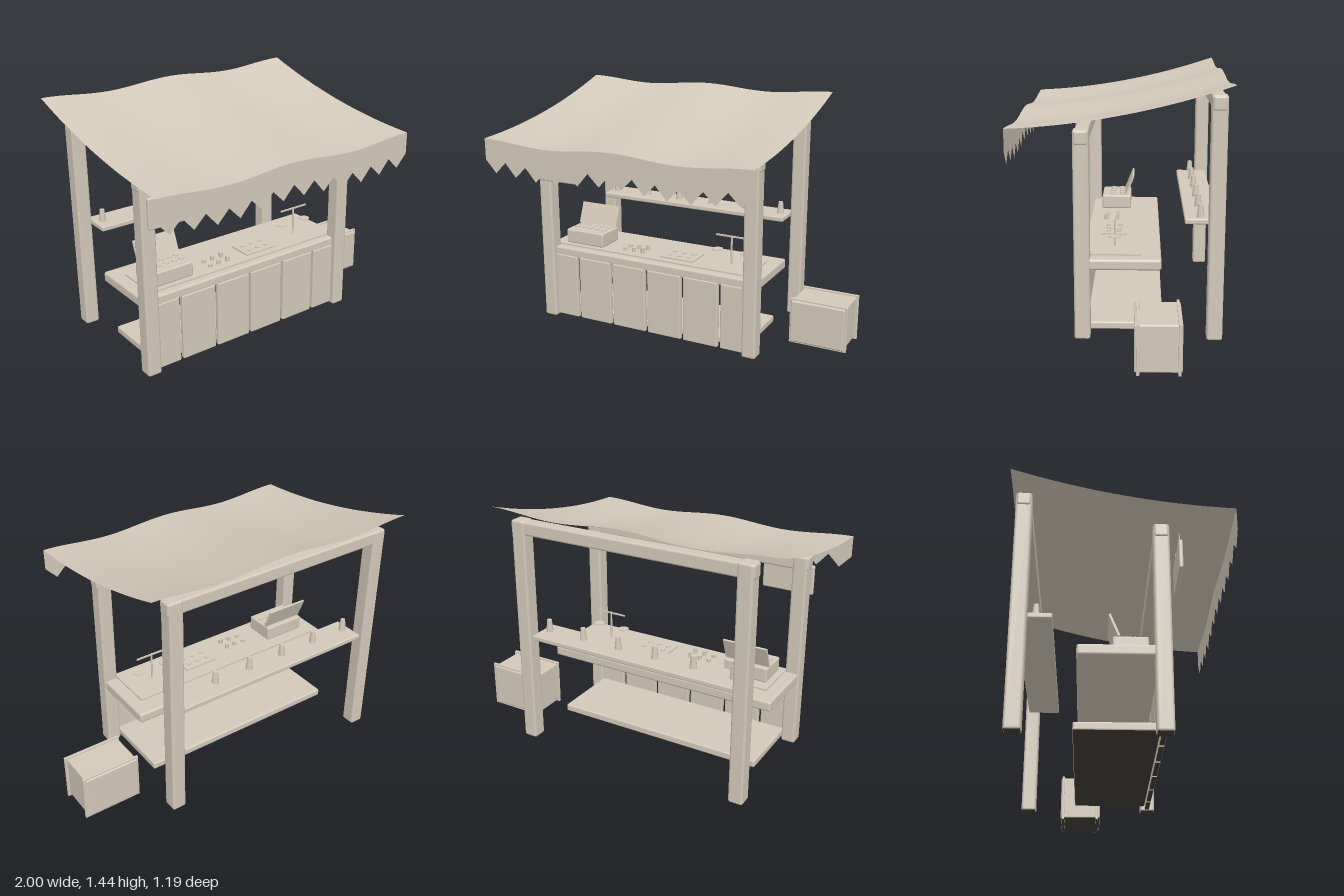
import * as THREE from 'three';
import { RoundedBoxGeometry } from 'three/addons/geometries/RoundedBoxGeometry.js';

const clay = new THREE.MeshStandardMaterial({ color: 0xd3c9b9, side: THREE.DoubleSide });
clay.name = 'warm grey';
const dark = new THREE.MeshStandardMaterial({ color: 0x403e36 });
dark.name = 'dark underside';
// Box face order: right, left, top, bottom, front, back
const darkBottom = [clay, clay, clay, dark, clay, clay];

export function createModel() {
  const root = new THREE.Group();
  root.name = 'marketStall';

  const add = (name, geo, x = 0, y = 0, z = 0, material = clay) => {
    const m = new THREE.Mesh(geo, material);
    m.name = name;
    m.position.set(x, y, z);
    root.add(m);
    return m;
  };
  // Box given by its extents; a bevel radius above 0 softens the edges
  const box = (name, [x0, x1], [y0, y1], [z0, z1], r = 0, material = clay) => {
    const s = [x1 - x0, y1 - y0, z1 - z0];
    const geo = r ? new RoundedBoxGeometry(...s, 2, r) : new THREE.BoxGeometry(...s);
    return add(name, geo, (x0 + x1) / 2, (y0 + y1) / 2, (z0 + z1) / 2, material);
  };
  const cyl = (name, rTop, rBottom, h, x, y0, z, sides = 12) =>
    add(name, new THREE.CylinderGeometry(rTop, rBottom, h, sides), x, y0 + h / 2, z);

  const mid = -0.158; // middle of the stall frame

  // Posts and top beams
  for (const [side, z, top] of [['front', 0.208, 1.19], ['back', -0.525, 1.375]]) {
    for (const x of [mid - 0.686, mid + 0.686])
      box(side + 'Post', [x - 0.043, x + 0.043], [0.01, top], [z - 0.044, z + 0.044], 0.014, darkBottom);
    box(side + 'Beam', [mid - 0.735, mid + 0.735], [top - 0.082, top - 0.004], [z - 0.038, z + 0.038], 0.012);
  }

  // Cloth canopy: rises toward the back, gently waved across
  const X0 = -1, W = 1.687, Z = 0.593;
  const wave = x => 0.0135 * Math.cos((x - X0) / W * Math.PI * 4);
  const clothY = (x, z) => {
    const t = (Z - z) / (2 * Z);
    return 1.2 + 0.05 * t + 0.175 * t * t + wave(x);
  };
  const cloth = new THREE.PlaneGeometry(W, 2 * Z, 48, 16);
  cloth.rotateX(-Math.PI / 2).translate(X0 + W / 2, 0, 0);
  const p = cloth.attributes.position;
  for (let i = 0; i < p.count; i++) p.setY(i, clothY(p.getX(i), p.getZ(i)));
  cloth.computeVertexNormals();
  add('canopy', cloth);

  // Zigzag valance hanging from the front edge
  const valance = new THREE.Shape();
  const teeth = 12;
  valance.moveTo(X0, clothY(X0, Z));
  for (let i = 0; i <= teeth * 2; i++) {
    const x = X0 + W * i / (teeth * 2);
    valance.lineTo(x, clothY(x, Z) - (i % 2 ? 0.198 : 0.125));
  }
  for (let i = 48; i > 0; i--) {
    const x = X0 + W * i / 48;
    valance.lineTo(x, clothY(x, Z));
  }
  add('valance', new THREE.ShapeGeometry(valance), 0, 0, Z);

  // Counter, mat, lower shelf and front panels
  box('counterTop', [mid - 0.72, mid + 0.72], [0.412, 0.474], [-0.228, 0.215], 0.014);
  box('counterMat', [mid - 0.645, mid + 0.645], [0.473, 0.483], [-0.115, 0.17]);
  box('lowerShelf', [mid - 0.65, mid + 0.65], [0.04, 0.085], [-0.24, 0.19], 0.01, darkBottom);
  for (let i = 0; i < 6; i++) {
    const x = mid + (i - 2.5) * 0.2425;
    box('frontPanel', [x - 0.113, x + 0.113], [0.02, 0.424], [0.19, 0.22], 0.008, darkBottom);
  }

  // Rear shelf between the back posts, with tapered cups
  box('rearShelf', [mid - 0.643, mid + 0.643], [0.655, 0.686], [-0.547, -0.355], 0.008);
  for (let i = 0; i < 6; i++)
    cyl('shelfCup', 0.014, 0.022, 0.074, mid + (i - 2.5) * 0.2375, 0.685, -0.443, 10);

  // Lidded display box with round goods
  box('displayBox', [-0.772, -0.505], [0.483, 0.572], [-0.045, 0.143], 0.01);
  for (let i = 0; i < 5; i++)
    for (const z of [0.015, 0.072])
      cyl('displayGoods', 0.015, 0.016, 0.009, -0.738 + i * 0.05, 0.57, z);
  const lid = add('displayLid', new THREE.BoxGeometry(0.27, 0.135, 0.012), -0.638, 0.637, -0.036);
  lid.rotation.x = -0.38;

  // Small jars in two rows
  for (let i = 0; i < 3; i++)
    for (const z of [0.04, 0.105])
      cyl('jar', 0.013, 0.013, 0.018 + i * 0.007, -0.365 + i * 0.062, 0.483, z);

  // Tray with small rounds
  box('tray', [-0.11, 0.11], [0.483, 0.492], [-0.03, 0.125]);
  for (let i = 0; i < 3; i++)
    for (const z of [0.015, 0.08])
      cyl('trayGoods', 0.014, 0.014, 0.008, (i - 1) * 0.065, 0.491, z);

  // Balance scale
  cyl('scalePole', 0.006, 0.006, 0.175, 0.32, 0.483, 0.033, 10);
  box('scaleBeam', [0.22, 0.42], [0.648, 0.657], [0.029, 0.037]);
  for (const x of [0.23, 0.41]) cyl('scalePan', 0.033, 0.033, 0.005, x, 0.56, 0.033, 16);

  // Hanging sign with a plain emblem plate
  box('signBoard', [-0.883, -0.573], [0.922, 1.098], [0.297, 0.321], 0.009);
  box('signPlate', [-0.81, -0.652], [0.976, 1.0], [0.32, 0.329]);
  const emblem = new THREE.Shape([[-0.83, 1.0], [-0.632, 1.0], [-0.69, 1.045], [-0.77, 1.045]]
    .map(c => new THREE.Vector2(...c)));
  add('signEmblem', new THREE.ExtrudeGeometry(emblem, { depth: 0.009, bevelEnabled: false }), 0, 0, 0.32);
  for (const x of [-0.83, -0.63]) cyl('signCord', 0.003, 0.003, 0.076, x, 1.092, 0.309, 6);

  // Crate beside the stall with two protruding boards
  box('crate', [0.655, 0.985], [0.01, 0.272], [-0.332, -0.083], 0.01, darkBottom);
  for (const z of [-0.103, -0.317])
    box('crateBoard', [0.647, 1.0], [0, 0.283], [z - 0.008, z + 0.008], 0.003, darkBottom);

  return root;
}
